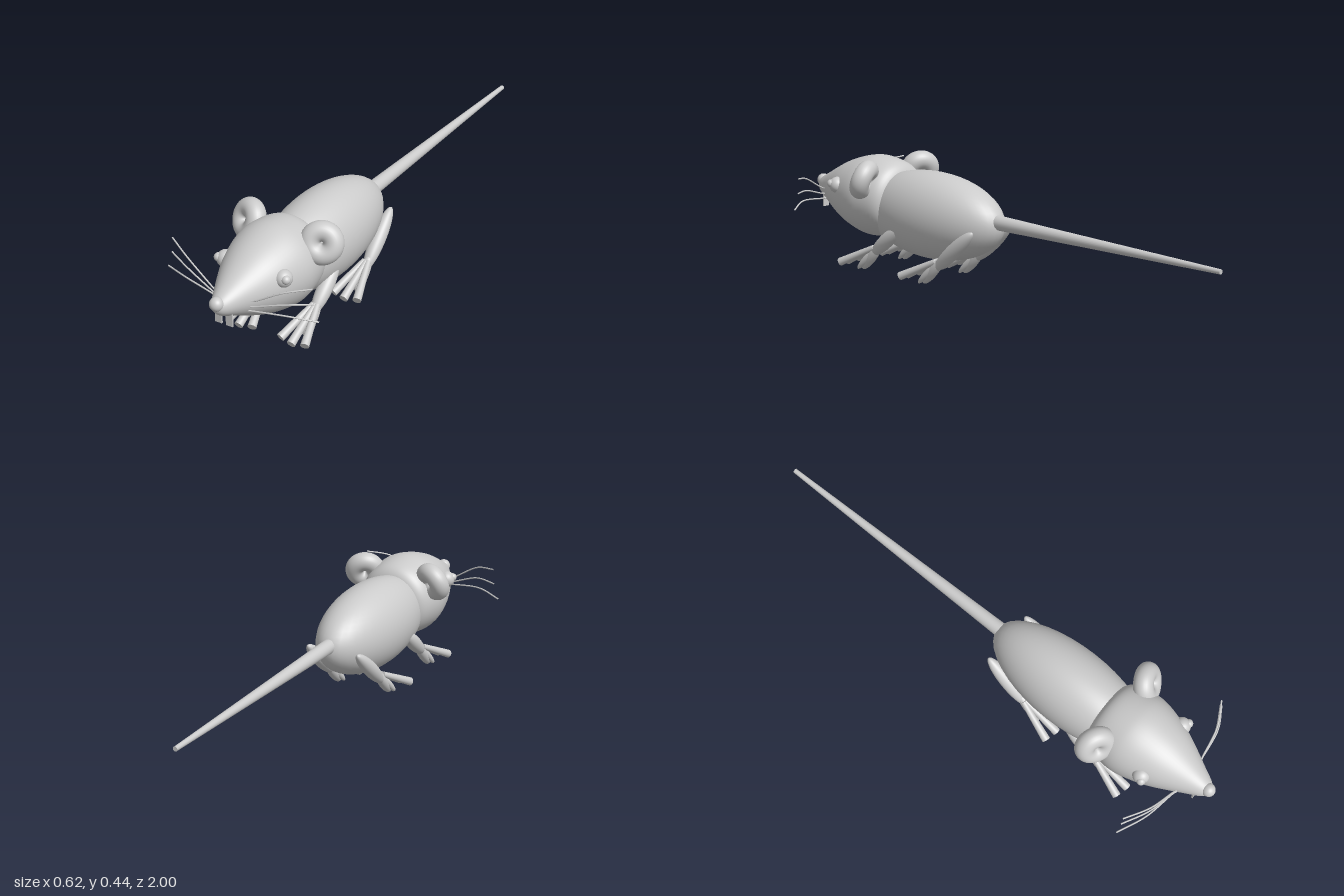
import * as THREE from 'three';

const CX = 0.013; // body axis
const Y = new THREE.Vector3(0, 1, 0);
const Z = new THREE.Vector3(0, 0, 1);
const v = (x, y, z) => new THREE.Vector3(x, y, z);

export function createModel() {
  const model = new THREE.Group();
  model.name = 'mouse';
  const grey = new THREE.MeshStandardMaterial({ color: 0xcccccc });

  const add = (geometry, name, parent = model) => {
    const mesh = new THREE.Mesh(geometry, grey);
    mesh.name = name;
    parent.add(mesh);
    return mesh;
  };

  const ball = (name, c, rx, ry = rx, rz = rx, parent = model) => {
    const mesh = add(new THREE.SphereGeometry(1, 40, 28), name, parent);
    mesh.position.copy(c);
    mesh.scale.set(rx, ry, rz);
    return mesh;
  };

  // lays a y-aligned mesh between two points
  const span = (mesh, a, b) => {
    mesh.position.copy(a).add(b).multiplyScalar(0.5);
    mesh.quaternion.setFromUnitVectors(Y, b.clone().sub(a).normalize());
    return mesh;
  };
  const spindle = (name, a, b, r, parent) =>
    span(ball(name, a, r, a.distanceTo(b) / 2, r, parent), a, b);
  const rod = (name, a, b, ra, rb, parent) =>
    span(add(new THREE.CylinderGeometry(rb, ra, a.distanceTo(b), 24), name, parent), a, b);

  // body and tail
  ball('body', v(CX, 0.243, 0.345), 0.145, 0.168, 0.345);
  rod('tail', v(CX, 0.262, 0.02), v(CX, 0.248, -1), 0.028, 0.009);

  // egg-shaped head drawn out into a snout
  const outline = new THREE.SplineCurve([
    [0, 0.497], [0.07, 0.501], [0.118, 0.515], [0.145, 0.55], [0.158, 0.62], [0.157, 0.67],
    [0.143, 0.73], [0.122, 0.79], [0.091, 0.855], [0.062, 0.91], [0.036, 0.96], [0.018, 0.98], [0, 0.985],
  ].map(([r, z]) => new THREE.Vector2(r, z)));
  const profile = outline.getPoints(60);
  profile.forEach(p => { p.x = Math.max(p.x, 0); });
  const head = add(new THREE.LatheGeometry(profile, 56), 'head');
  head.rotation.x = Math.PI / 2;
  head.position.set(CX, 0.279, 0);
  ball('nose', v(0.011, 0.295, 0.975), 0.025);

  // front teeth
  for (const x of [-0.0105, 0.0335]) {
    add(new THREE.BoxGeometry(0.027, 0.055, 0.006), 'tooth').position.set(x, 0.224, 0.938);
  }

  // whiskers: x, y of three points each, swept backwards
  const whiskers = [
    [0.09, 0.283, 0.2, 0.34, 0.285, 0.358],
    [0.09, 0.262, 0.2, 0.293, 0.29, 0.3],
    [0.085, 0.243, 0.22, 0.255, 0.308, 0.237],
    [-0.065, 0.28, -0.19, 0.352, -0.285, 0.373],
    [-0.065, 0.264, -0.19, 0.308, -0.29, 0.314],
    [-0.06, 0.254, -0.2, 0.268, -0.31, 0.253],
  ];
  for (const [x0, y0, x1, y1, x2, y2] of whiskers) {
    const curve = new THREE.CatmullRomCurve3([
      v(x0 * 0.7, y0, 0.895), v(x0, y0, 0.885), v(x1, y1, 0.862), v(x2, y2, 0.815),
    ]);
    add(new THREE.TubeGeometry(curve, 24, 0.003, 8), 'whisker');
  }

  for (const side of [1, -1]) {
    const label = side > 0 ? 'left' : 'right';
    const at = (x, y, z) => v(CX + side * x, y, z);

    // ear: thick ring with its hole closed to a dimple
    const ear = add(new THREE.TorusGeometry(0.041, 0.037, 28, 48), label + 'Ear');
    ear.position.copy(at(0.149, 0.371, 0.573));
    ear.quaternion.setFromUnitVectors(Z, v(side * 0.42, 0.36, 0.83).normalize());

    // eye with raised pupil
    ball(label + 'Eye', at(0.118, 0.32, 0.76), 0.032);
    ball(label + 'Pupil', at(0.138, 0.327, 0.774), 0.016);

    // legs: thigh, heel and three fanned toes
    const legs = [
      ['FrontLeg', at(0.11, 0.203, 0.415), at(0.11, 0.07, 0.575), 0.56],
      ['BackLeg', at(0.105, 0.235, 0.045), at(0.11, 0.065, 0.235), 0.225],
    ];
    for (const [name, hip, foot, z] of legs) {
      const leg = new THREE.Group();
      leg.name = label + name;
      model.add(leg);
      spindle('thigh', hip, foot, 0.028, leg);
      spindle('shin', at(0.11, 0.115, z - 0.03), at(0.11, 0.005, z + 0.07), 0.021, leg);
      for (const spread of [-1, 0, 1]) {
        const ankle = at(0.11 + spread * 0.008, 0.1, z);
        const tip = at(0.11 + spread * 0.05, spread ? 0.028 : 0.024, z + (spread ? 0.145 : 0.155));
        rod('toe', ankle, tip, 0.011, 0.016, leg);
      }
      for (const spread of [-1, 1]) {
        spindle('pad', at(0.11 + spread * 0.006, 0.09, z), at(0.11 + spread * 0.018, 0.006, z + 0.08), 0.013, leg);
      }
    }
  }
  return model;
}
